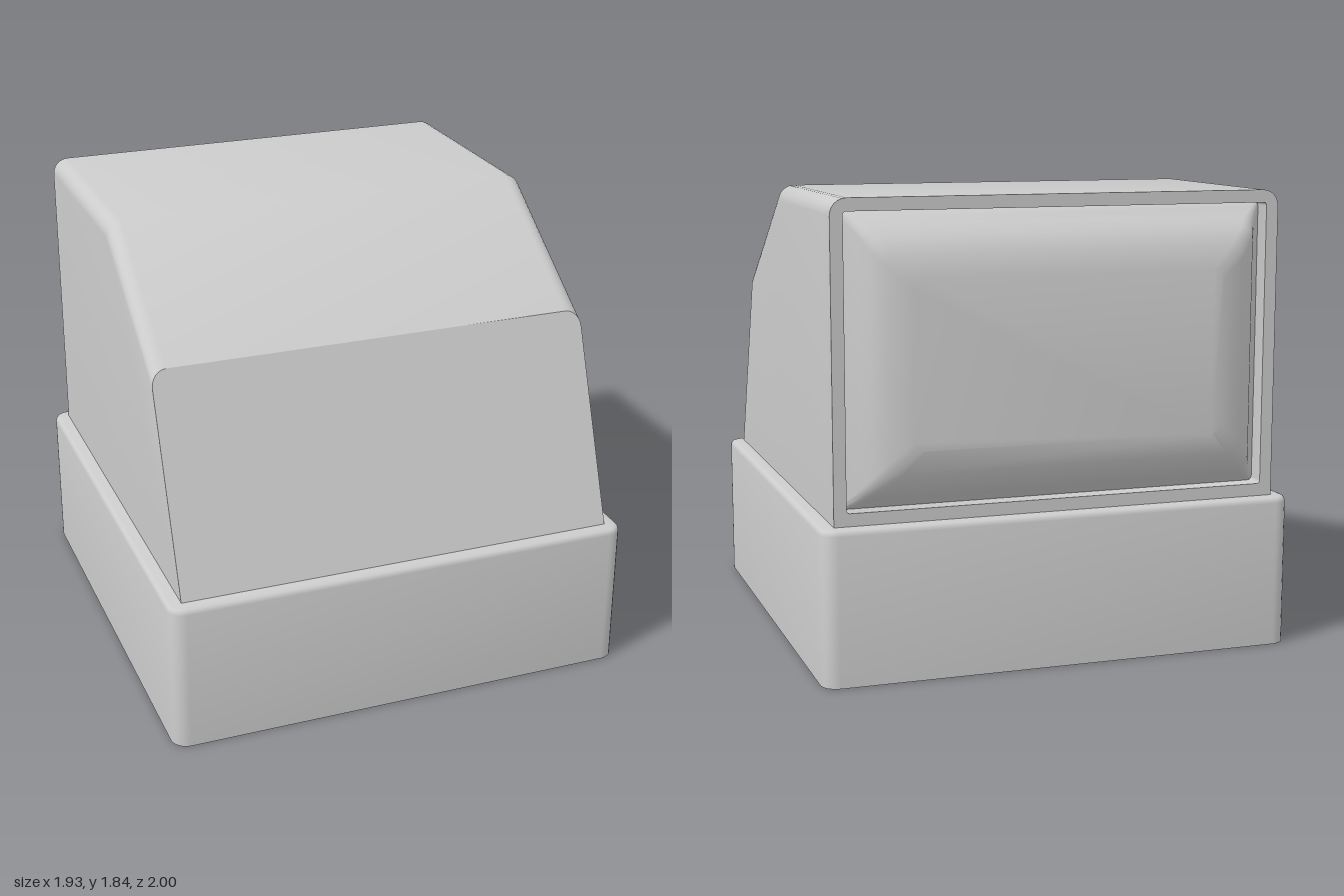
import * as THREE from 'three';
import { toCreasedNormals } from 'three/addons/utils/BufferGeometryUtils.js';

const material = new THREE.MeshStandardMaterial({ color: 0xcccccc });

// Counter-clockwise outline of a rectangle with rounded corners, as [x, y] points
function roundedRect(x0, x1, y0, y1, rTop, rBottom = rTop, steps = 6) {
  const corners = [
    [x1, y0, -1, 1, rBottom], [x1, y1, -1, -1, rTop],
    [x0, y1, 1, -1, rTop], [x0, y0, 1, 1, rBottom],
  ];
  const points = [];
  corners.forEach(([x, y, sx, sy, r], c) => {
    const n = r > 0 ? steps : 0;
    for (let i = 0; i <= n; i++) {
      const a = (c - 1 + (n ? i / n : 0)) * Math.PI / 2;
      points.push([x + sx * r + r * Math.cos(a), y + sy * r + r * Math.sin(a)]);
    }
  });
  return points;
}

// Skin over closed convex rings that follow one another towards +z
function loft(rings, { start = false, end = false, crease = 0.65 } = {}) {
  const pos = [];
  const tri = (a, b, c) => pos.push(...a, ...b, ...c);
  const n = rings[0].length;
  for (let k = 0; k + 1 < rings.length; k++) {
    for (let i = 0; i < n; i++) {
      const j = (i + 1) % n, a = rings[k], b = rings[k + 1];
      tri(a[i], a[j], b[j]);
      tri(a[i], b[j], b[i]);
    }
  }
  const first = rings[0], last = rings[rings.length - 1];
  for (let i = 1; i + 1 < n; i++) {
    if (start) tri(first[0], first[i + 1], first[i]);
    if (end) tri(last[0], last[i], last[i + 1]);
  }
  const geo = new THREE.BufferGeometry();
  geo.setAttribute('position', new THREE.Float32BufferAttribute(pos, 3));
  return toCreasedNormals(geo, crease);
}

const atZ = (points, z) => points.map(([x, y]) => [x, y, z]);

export function createModel() {
  const model = new THREE.Group();
  model.name = 'hoodedMonitor';
  const add = (name, geometry) => {
    const mesh = new THREE.Mesh(geometry, material);
    mesh.name = name;
    model.add(mesh);
    return mesh;
  };

  // Base block: rounded upright corners, softened top rim, flat bottom
  const baseRings = [[0, 0], [0, 0.588], [0.003, 0.599], [0.01, 0.607], [0.022, 0.61]].map(([inset, y]) =>
    atZ(roundedRect(-0.965 + inset, 0.965 - inset, -0.97 + inset, 0.97 - inset, 0.065 - inset), y));
  const base = add('base', loft(baseRings, { start: true, end: true }).rotateX(-Math.PI / 2));
  base.position.z = 0.03;

  // Hood: arch-shaped section, level at the back, sloping down to the front panel
  const floor = 0.61, halfWidth = 0.905, radius = 0.065, back = -0.88, frameDepth = 0.08;
  const arch = (top) => roundedRect(-halfWidth, halfWidth, floor, top, radius, 0);
  const frontRing = arch(1.44).map(([x, y]) => [x, y, 0.94 - (y - floor) * 0.32 / 0.83]);
  add('hood', loft([atZ(arch(1.84), back + frameDepth), atZ(arch(1.84), 0.03), frontRing]));

  // Flat leaning panel that closes the front of the hood
  add('frontPanel', loft([frontRing], { end: true }));

  // Frame around the screen opening at the back
  const toVectors = (points) => points.map(([x, y]) => new THREE.Vector2(x, y));
  const frameShape = new THREE.Shape(toVectors(arch(1.84)));
  frameShape.holes.push(new THREE.Path(toVectors(roundedRect(-0.855, 0.855, 0.66, 1.79, 0.012))));
  const frame = add('screenFrame', toCreasedNormals(
    new THREE.ExtrudeGeometry(frameShape, { depth: frameDepth, bevelEnabled: false }), 0.65));
  frame.position.z = back;

  // Bulging screen: half width, half height, distance behind the centre, corner radius
  const screenRings = [
    [0.855, 0.565, 0.805, 0.02], [0.83, 0.545, 0.84, 0.03], [0.80, 0.515, 0.88, 0.04],
    [0.77, 0.475, 0.937, 0.05], [0.71, 0.41, 0.977, 0.05], [0.62, 0.322, 1.0, 0.04],
  ].map(([w, h, z, r]) => atZ(roundedRect(-w, w, -h, h, r), z));
  const screen = add('screen', loft(screenRings, { end: true, crease: 0.8 }).rotateY(Math.PI));
  screen.position.y = 1.225;

  return model;
}
